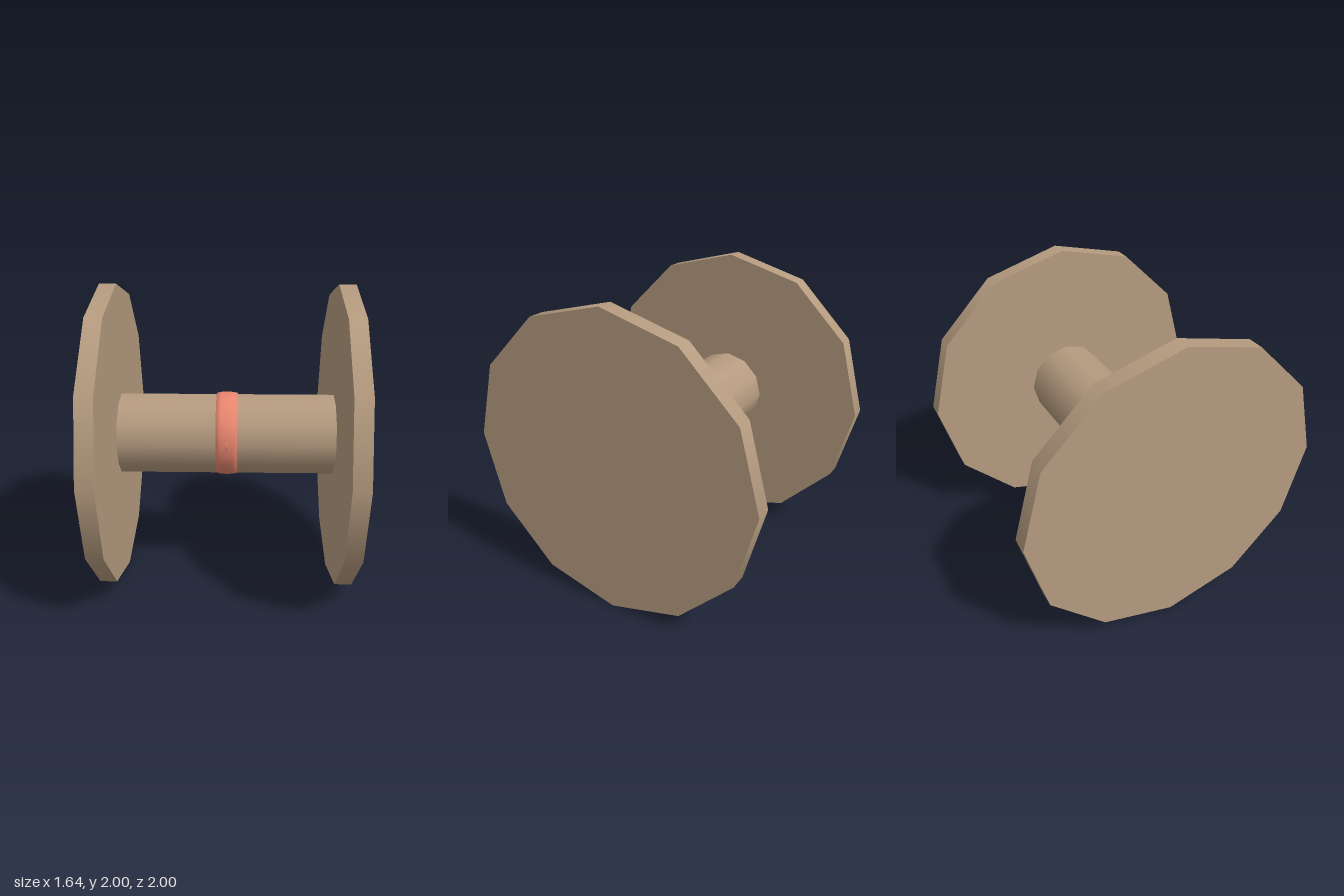
import * as THREE from 'three';

const wood = new THREE.MeshStandardMaterial({ color: 0xb59b7f });
const red = new THREE.MeshStandardMaterial({ color: 0xe8866f });

export function createModel() {
  const model = new THREE.Group();
  const add = (name, geometry, material, x, y, z) => {
    const mesh = new THREE.Mesh(geometry, material);
    mesh.name = name;
    mesh.position.set(x, y, z);
    model.add(mesh);
    return mesh;
  };
  // A cylinder lying along x, with twelve smooth-shaded sides
  const roller = (radius, length) =>
    new THREE.CylinderGeometry(radius, radius, length, 12).rotateZ(Math.PI / 2);

  // Two broad end discs
  for (const [name, side] of [['leftDisc', 1], ['rightDisc', -1]]) {
    add(name, roller(1, 0.11), wood, side * 0.765, 1, 0);
  }

  // Axle joining the discs
  add('axle', roller(0.272, 1.44), wood, 0, 1, 0);

  // String loop, a slightly rounded band around the axle
  const profile = [[0.25, -0.07], [0.273, -0.07], [0.279, -0.04], [0.282, 0],
    [0.279, 0.04], [0.273, 0.07], [0.25, 0.07]].map(([r, x]) => new THREE.Vector2(r, x));
  add('stringLoop', new THREE.LatheGeometry(profile, 24).rotateZ(Math.PI / 2), red, 0, 1, 0);

  // Small knot, mostly sunk into the front of the band
  add('knot', new THREE.SphereGeometry(0.08, 8, 6), red, 0, 1, 0.207);

  return model;
}
